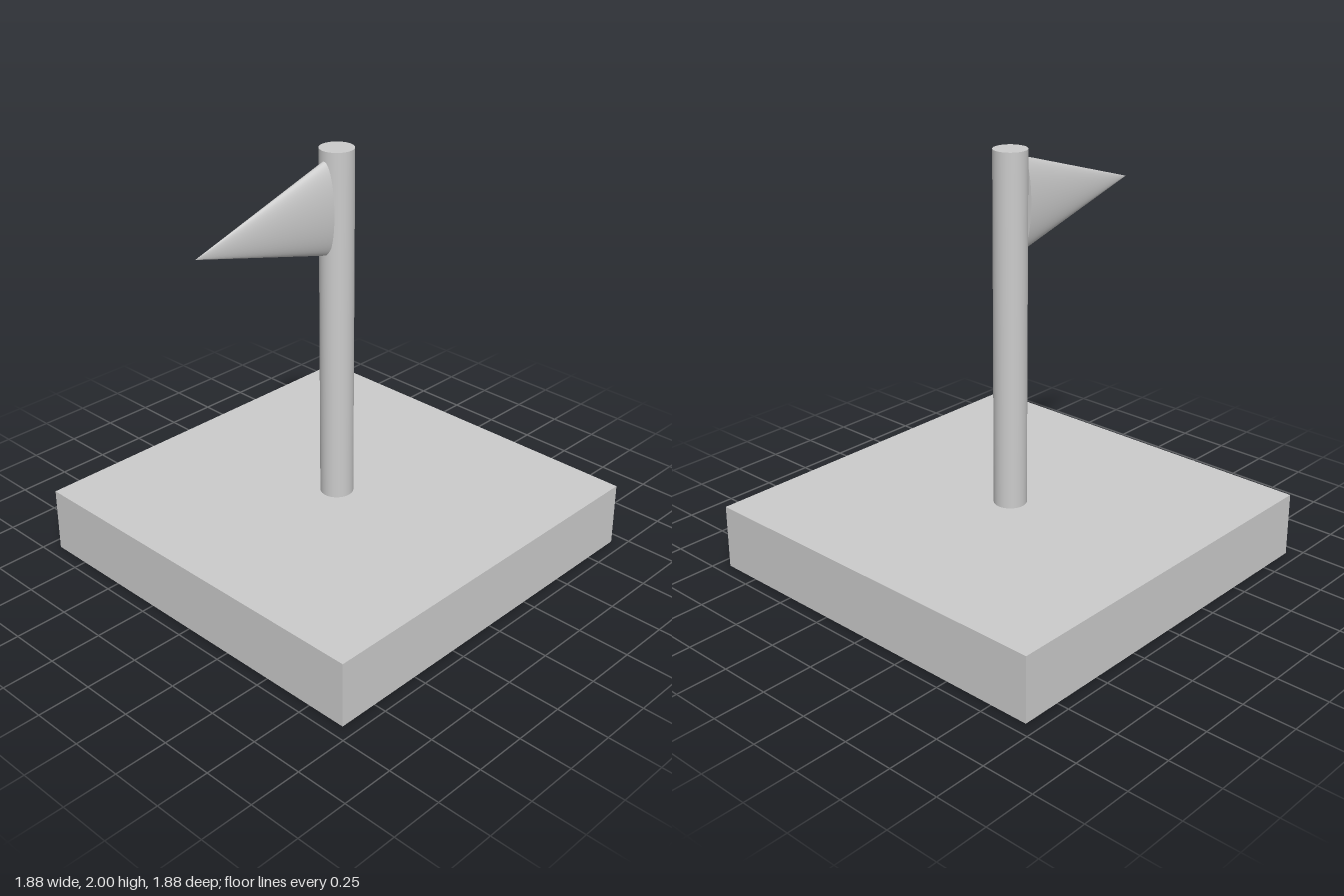
import * as THREE from 'three';

export function createModel() {
  const group = new THREE.Group();
  const material = new THREE.MeshStandardMaterial({ color: 0xcccccc });
  const add = (name, geometry, x, y, z) => {
    const mesh = new THREE.Mesh(geometry, material);
    mesh.name = name;
    mesh.position.set(x, y, z);
    group.add(mesh);
    return mesh;
  };

  // Square slab
  const baseHeight = 0.312, top = 2;
  add('base', new THREE.BoxGeometry(1.88, baseHeight, 1.88), 0, baseHeight / 2, 0);

  // Round pole standing on the slab
  const poleHeight = top - baseHeight;
  add('pole', new THREE.CylinderGeometry(0.078, 0.078, poleHeight, 64), 0, baseHeight + poleHeight / 2, 0);

  // Pennant: a flattened cone pointing to -x, drooping slightly
  const pennant = new THREE.ConeGeometry(0.215, 0.737, 64);
  pennant.scale(1, 1, 0.057 / 0.215);
  add('pennant', pennant, -0.442, 1.7325, 0).rotation.z = Math.PI / 2 + 0.02;

  return group;
}
